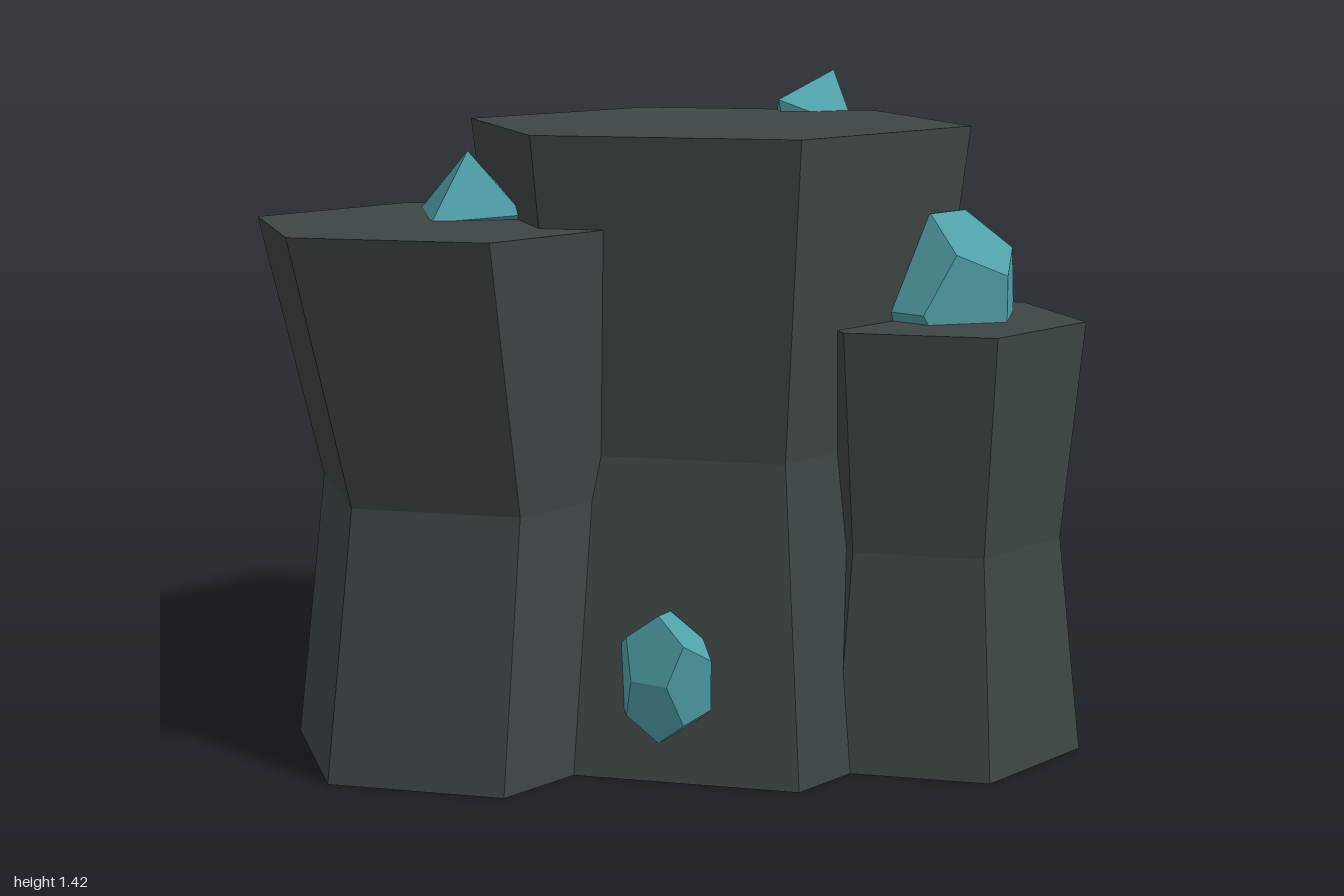
import * as THREE from 'three';

const rock = new THREE.MeshStandardMaterial({ color: 0x3d4644, flatShading: true });
const gem = new THREE.MeshStandardMaterial({ color: 0x4f9fa7, flatShading: true });

// Hexagonal column from three rings (bottom, waist, top), each with its own radius and centre x
function column(name, height, z, radii, centres) {
  const geo = new THREE.CylinderGeometry(1, 1, 2, 6, 2, false, Math.PI / 2);
  const p = geo.attributes.position;
  for (let i = 0; i < p.count; i++) {
    const ring = Math.round(p.getY(i) + 1);
    p.setXYZ(i,
      p.getX(i) * radii[ring] + centres[ring],
      ring * height / 2,
      p.getZ(i) * radii[ring] + z);
  }
  geo.computeVertexNormals();
  const mesh = new THREE.Mesh(geo, rock);
  mesh.name = name;
  return mesh;
}

// Crystal: a stretched regular solid
function crystal(name, Solid, position, scale, rotation = [0, 0, 0]) {
  const mesh = new THREE.Mesh(new Solid(1), gem);
  mesh.name = name;
  mesh.position.set(...position);
  mesh.scale.set(...scale);
  mesh.rotation.set(...rotation);
  return mesh;
}

export function createModel() {
  const group = new THREE.Group();
  group.name = 'crystalRock';
  const Dodeca = THREE.DodecahedronGeometry;
  const Octa = THREE.OctahedronGeometry;

  // Basalt columns
  group.add(
    column('centreColumn', 1.33, 0.145, [0.575, 0.475, 0.555], [-0.015, -0.015, -0.015]),
    column('rightColumn', 1.14, -0.1, [0.38, 0.36, 0.418], [-0.55, -0.49, -0.582]),
    column('leftColumn', 0.76, -0.213, [0.46, 0.375, 0.442], [0.47, 0.473, 0.558]),
    column('backColumn', 0.95, -0.47, [0.41, 0.36, 0.445], [-0.012, -0.012, -0.012]),
    column('frontColumn', 0.93, 0.615, [0.324, 0.272, 0.313], [0.17, 0.168, 0.17]),
  );

  // Rounded crystals
  group.add(
    crystal('frontTopCrystal', Dodeca, [0.208, 0.95, 0.61], [0.17, 0.215, 0.17]),
    crystal('leftCornerCrystal', Dodeca, [0.522, 0.445, 0.16], [0.083, 0.123, 0.1], [0, 0.3, 0]),
    crystal('rightCornerCrystal', Dodeca, [-0.43, 0.22, 0.385], [0.066, 0.145, 0.12], [0, 0.2, 0]),
    crystal('leftTopCrystal', Dodeca, [0.36, 0.84, -0.28], [0.08, 0.113, 0.096]),
    crystal('backCornerCrystal', Dodeca, [0.35, 0.195, -0.575], [0.08, 0.1, 0.085], [0, 0.3, 0]),
  );

  // Pointed crystals
  group.add(
    crystal('summitCrystal', Octa, [0.475, 1.29, 0.015], [0.147, 0.147, 0.122], [0, 0, -0.48]),
    crystal('rightTopCrystal', Octa, [-0.47, 1.15, -0.14], [0.135, 0.13, 0.14], [0, 0.15, 0.1]),
    crystal('backTopCrystal', Octa, [-0.23, 1.03, -0.33], [0.125, 0.138, 0.14]),
    crystal('backRightCrystal', Octa, [-0.43, 0.44, -0.49], [0.11, 0.165, 0.1], [0, 0.25, 0.1]),
    crystal('backBaseCrystal', Octa, [-0.06, 0.155, -0.8], [0.11, 0.138, 0.095], [0.1, 0.2, 0]),
  );
  return group;
}
